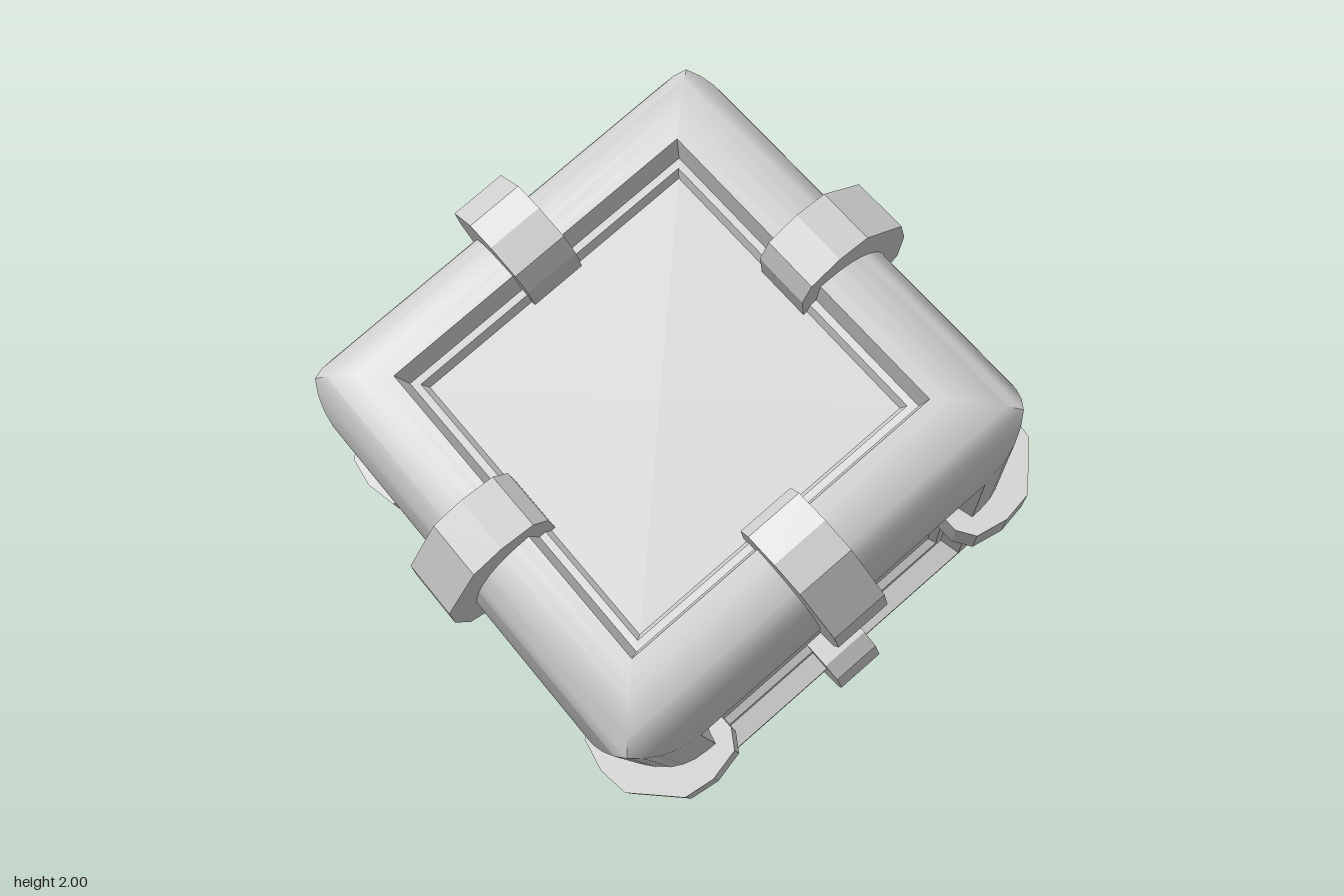
import * as THREE from 'three';
import { mergeGeometries, toCreasedNormals } from 'three/addons/utils/BufferGeometryUtils.js';

const EDGE = 0.577;      // half size at the rounded edge's ridge
const BAR_CENTRE = 0.457, BAR_RADIUS = 0.17;

// One cube face (towards +z) as square rings [half size, depth] lofted inwards
function faceGeometry() {
  const rings = [[EDGE, EDGE]];
  for (const deg of [56, 67, 78, 90]) {
    const a = THREE.MathUtils.degToRad(deg);
    rings.push([BAR_CENTRE + BAR_RADIUS * Math.cos(a), BAR_CENTRE + BAR_RADIUS * Math.sin(a)]);
  }
  // flat lip, opening wall, ledge, step, panel centre
  rings.push([0.43, 0.628], [0.415, 0.57], [0.397, 0.568], [0.386, 0.546], [0, 0.546]);
  const signs = [[1, 1], [-1, 1], [-1, -1], [1, -1]];
  const pos = [];
  for (let i = 0; i < rings.length - 1; i++) {
    for (let k = 0; k < 4; k++) {
      const corner = (ring, n) => [signs[n % 4][0] * ring[0], signs[n % 4][1] * ring[0], ring[1]];
      const a = corner(rings[i], k), b = corner(rings[i], k + 1);
      const c = corner(rings[i + 1], k + 1), d = corner(rings[i + 1], k);
      pos.push(...a, ...b, ...c);
      if (rings[i + 1][0] > 0) pos.push(...a, ...c, ...d);
    }
  }
  const g = new THREE.BufferGeometry();
  g.setAttribute('position', new THREE.Float32BufferAttribute(pos, 3));
  return g;
}

// Six faces merged, so the rounded edges shade smoothly across the ridge
function frameGeometry() {
  const faces = [];
  for (let i = 0; i < 4; i++) faces.push(faceGeometry().rotateY(i * Math.PI / 2));
  faces.push(faceGeometry().rotateX(Math.PI / 2), faceGeometry().rotateX(-Math.PI / 2));
  return toCreasedNormals(mergeGeometries(faces), 0.9);
}

// Faceted band around the middle of an edge running along z at (+x, +y)
function claspGeometry() {
  const half = [[0.678, 0.572], [0.69, 0.49], [0.672, 0.405], [0.625, 0.375], [0.53, 0.375]];
  const outline = [
    ...half.slice().reverse().map(([d, s]) => new THREE.Vector2(d, s)),
    ...half.map(([d, s]) => new THREE.Vector2(s, d)),
    new THREE.Vector2(0.4, 0.4),
  ];
  const width = 0.145;
  return new THREE.ExtrudeGeometry(new THREE.Shape(outline), { depth: width, bevelEnabled: false })
    .translate(0, 0, -width / 2);
}

export function createModel() {
  const model = new THREE.Group();
  const smooth = new THREE.MeshStandardMaterial({ color: 0xcccccc });
  const faceted = new THREE.MeshStandardMaterial({ color: 0xcccccc, flatShading: true });

  const cube = new THREE.Group();
  cube.name = 'crate';
  const frame = new THREE.Mesh(frameGeometry(), smooth);
  frame.name = 'frameAndPanels';
  cube.add(frame);

  // Four clasps around each of the three axes
  const clasp = claspGeometry();
  const axes = [[0, 0], [Math.PI / 2, 0], [0, Math.PI / 2]];
  for (const [rx, ry] of axes) {
    const set = new THREE.Group();
    set.name = 'claspSet';
    set.rotation.set(rx, ry, 0);
    for (let k = 0; k < 4; k++) {
      const band = new THREE.Mesh(clasp, faceted);
      band.name = 'edgeClasp';
      band.rotation.z = k * Math.PI / 2;
      set.add(band);
    }
    cube.add(set);
  }

  // Balance the cube on one corner, its diagonal upright
  const axis = (k) => {
    const a = THREE.MathUtils.degToRad(-1.2 - 120 * k);
    return new THREE.Vector3(Math.SQRT2 * Math.cos(a), 1, Math.SQRT2 * Math.sin(a)).normalize();
  };
  cube.quaternion.setFromRotationMatrix(new THREE.Matrix4().makeBasis(axis(0), axis(1), axis(2)));
  cube.position.y = 1;
  model.add(cube);
  return model;
}
